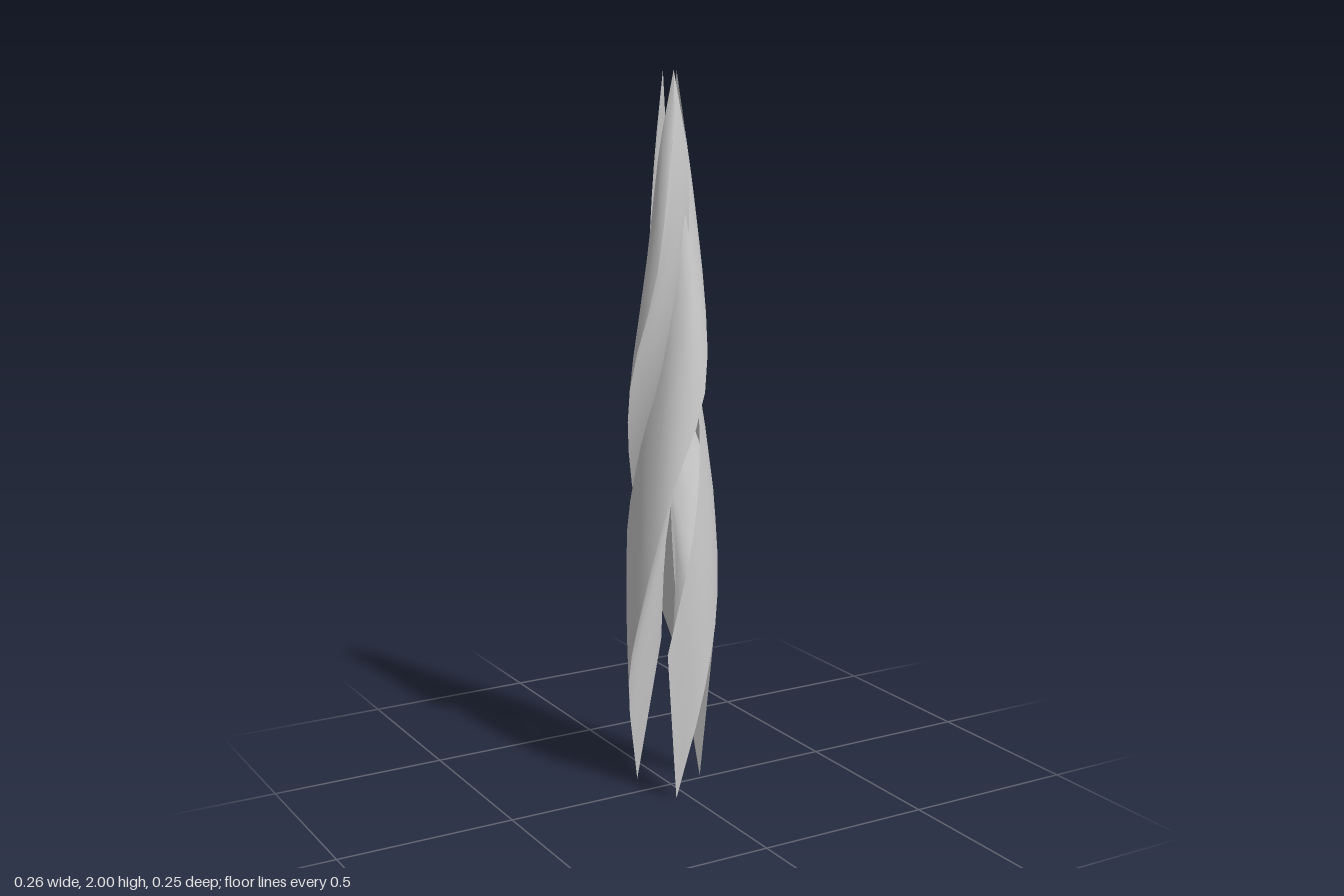
import * as THREE from 'three';

const ROWS = 18, COLS = 4;

// Blade edges as (angle in degrees, height, radius), from the foot to the top
const edge = (pts) => new THREE.CatmullRomCurve3(pts.map(([deg, y, r]) => {
  const t = THREE.MathUtils.degToRad(deg);
  return new THREE.Vector3(r * Math.cos(t), y, r * Math.sin(t));
}));
const lowerEdge = edge([
  [112, 0, 0.105], [71, 0.32, 0.125], [36, 0.57, 0.13], [0, 0.87, 0.127],
  [-50, 1.15, 0.119], [-95, 1.47, 0.085], [-135, 1.88, 0.035],
]);
const upperEdge = edge([
  [124, 0.43, 0.136], [91, 0.75, 0.122], [62, 1, 0.092], [25, 1.2, 0.065],
  [-25, 1.5, 0.055], [-70, 1.77, 0.045], [-138, 2, 0.022],
]);
// Runs up near the axis, then out across the neighbouring blade
const innerEdge = edge([
  [112, 0.43, 0.03], [70, 0.72, 0.015], [-120, 1.02, 0.035], [-147, 1.2, 0.062],
  [-163, 1.46, 0.063], [-180, 1.76, 0.052], [-138, 2, 0.022],
]);

// Twisted band between two edges, swelling outward by bulge at its middle
function bandGeometry(from, to, bulge) {
  const pos = [], index = [];
  for (let i = 0; i <= ROWS; i++) {
    const u = i / ROWS, a = from.getPoint(u), b = to.getPoint(u);
    for (let j = 0; j <= COLS; j++) {
      const v = j / COLS, p = a.clone().lerp(b, v);
      const swell = 1 + bulge * Math.sin(Math.PI * v) * Math.sin(Math.PI * u);
      pos.push(p.x * swell, p.y, p.z * swell);
      if (i < ROWS && j < COLS) {
        const k = i * (COLS + 1) + j, n = k + COLS + 1;
        index.push(k, n, n + 1, k, n + 1, k + 1);
      }
    }
  }
  const geo = new THREE.BufferGeometry();
  geo.setAttribute('position', new THREE.Float32BufferAttribute(pos, 3));
  geo.setIndex(index);
  geo.computeVertexNormals();
  return geo;
}

export function createModel() {
  const group = new THREE.Group();
  group.name = 'twistedSpire';
  const material = new THREE.MeshStandardMaterial({ color: 0xcccccc, side: THREE.DoubleSide });
  const parts = {
    outerFace: bandGeometry(lowerEdge, upperEdge, 0.08),
    innerFace: bandGeometry(lowerEdge, innerEdge, 0),
  };
  // Three equal folded blades wound around the axis
  for (let i = 0; i < 3; i++) {
    const blade = new THREE.Group();
    blade.name = `spiralBlade${i + 1}`;
    blade.rotation.y = (i * Math.PI * 2) / 3;
    for (const [name, geo] of Object.entries(parts)) {
      const mesh = new THREE.Mesh(geo, material);
      mesh.name = name;
      blade.add(mesh);
    }
    group.add(blade);
  }
  return group;
}
